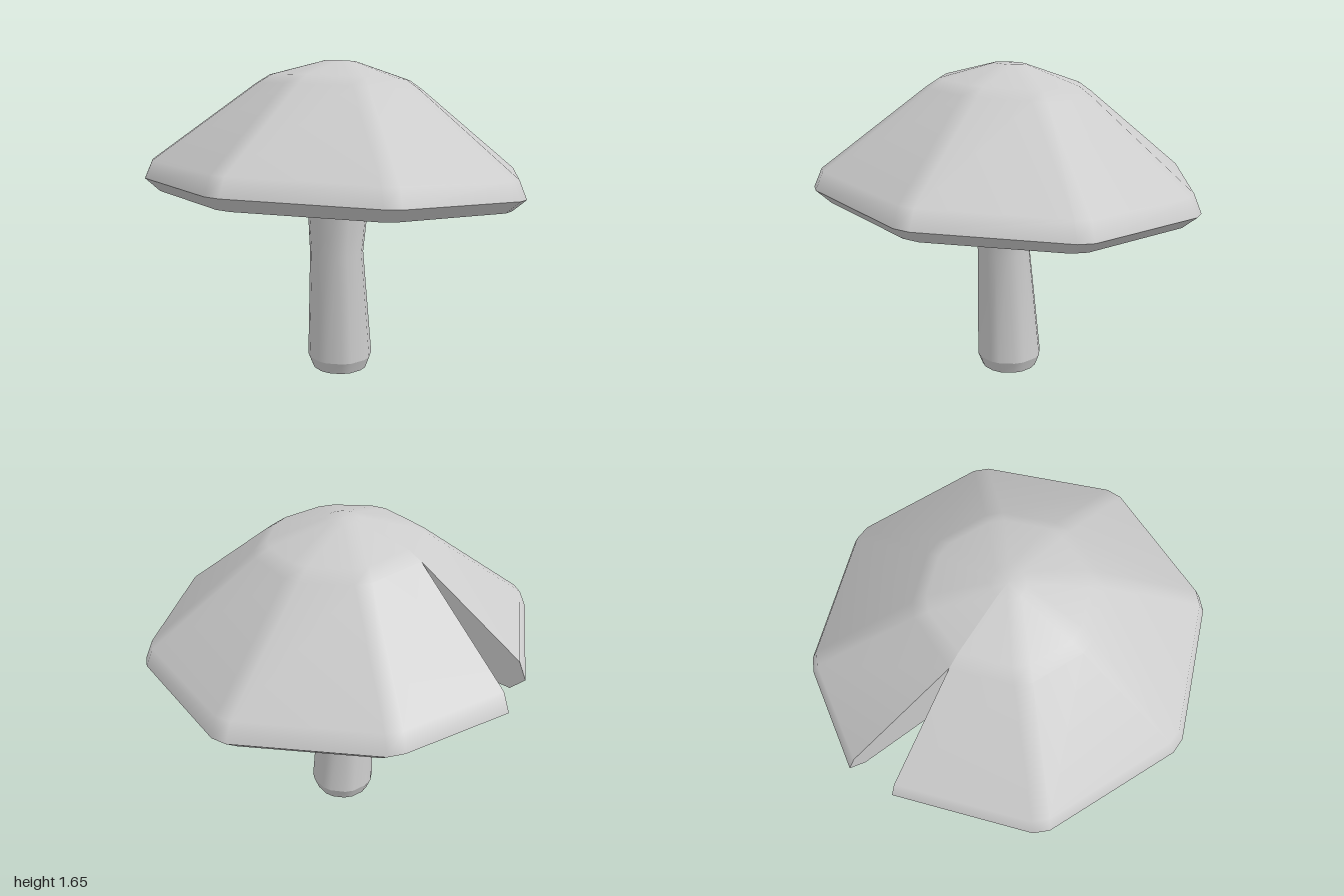
import * as THREE from 'three';

const SPOKE = Math.PI / 4;

// Two points either side of spoke k: an octagon corner with a narrow bevel
function corner(r, y, k, bevel) {
  const a = -Math.PI + k * SPOKE, c = Math.cos(a), s = Math.sin(a);
  const b = Math.min(bevel, r * 0.2);
  return [-b, b].map((o) => new THREE.Vector3(r * c - o * s, y, r * s + o * c));
}

// Cap ring: runs from one lip of the slit, round seven corners, to the other lip
function capRing([r, y]) {
  const t = Math.max(0, (r - 0.43) / 0.57);
  const pts = [new THREE.Vector3(-r, y - 0.01 * t, -0.21 * t)];
  for (let k = 1; k < 8; k++) pts.push(...corner(r, y, k, 0.04));
  pts.push(new THREE.Vector3(-r + 0.02 * t, y, 0.04 * t));
  // the whole cap leans back a little
  pts.forEach((p) => { p.y += 0.062 * p.z - 0.008 * p.x; });
  return pts;
}

function stemRing([r, y, z]) {
  const pts = [];
  for (let k = 0; k < 8; k++) pts.push(...corner(r, y, k, 0.025));
  pts.forEach((p) => { p.z += z; });
  return pts;
}

// Smooth skin across rings listed from top to bottom
function skin(rings, closed) {
  const n = rings[0].length, index = [];
  for (let i = 0; i < rings.length - 1; i++) {
    for (let j = 0; j < (closed ? n : n - 1); j++) {
      const a = i * n + j, b = i * n + (j + 1) % n;
      index.push(a, b, b + n, a, b + n, a + n);
    }
  }
  return geometry(rings.flat(), index);
}

// Flat wall across a convex outline
function wall(points, flip) {
  const index = [];
  for (let i = 1; i < points.length - 1; i++) {
    index.push(0, ...(flip ? [i + 1, i] : [i, i + 1]));
  }
  return geometry(points, index);
}

function geometry(points, index) {
  const g = new THREE.BufferGeometry().setFromPoints(points);
  g.setIndex(index);
  g.computeVertexNormals();
  return g;
}

export function createModel() {
  const model = new THREE.Group();
  model.name = 'mushroom';
  const material = new THREE.MeshStandardMaterial({ color: 0xcccccc });
  const add = (parent, name, geo) => {
    const mesh = new THREE.Mesh(geo, material);
    mesh.name = name;
    parent.add(mesh);
  };

  // Cap: each profile is [radius, height]; separate skins keep hard edges
  const cap = new THREE.Group();
  cap.name = 'cap';
  model.add(cap);
  const profiles = {
    capTop: [[0, 1.65], [0.08, 1.648], [0.36, 1.565], [0.43, 1.52], [0.96, 1.12], [1, 1.03]],
    capRim: [[1, 1.03], [0.93, 0.967]],
    capUnderside: [[0.93, 0.967], [0.43, 1.06]],
    capCollar: [[0.43, 1.06], [0.16, 0.99], [0, 0.99]],
  };
  for (const [name, profile] of Object.entries(profiles)) {
    add(cap, name, skin(profile.map(capRing), false));
  }

  // Cut faces of the slit
  const cut = [[0.43, 1.52], [0.96, 1.12], [1, 1.03], [0.93, 0.967], [0.43, 1.06]].map(capRing);
  add(cap, 'slitBackWall', wall(cut.map((r) => r[0]), false));
  add(cap, 'slitFrontWall', wall(cut.map((r) => r[r.length - 1]), true));

  // Stem: [radius, height, z offset], pinched and bent at the middle
  const stem = new THREE.Group();
  stem.name = 'stem';
  model.add(stem);
  const side = [[0.168, 1.02, 0.018], [0.14, 0.65, 0.04], [0.173, 0.065, 0.008]];
  const foot = [[0.173, 0.065, 0.008], [0.148, 0, 0.008]];
  const base = [[0.148, 0, 0.008], [0, 0, 0.008]];
  add(stem, 'stemSide', skin(side.map(stemRing), true));
  add(stem, 'stemFoot', skin(foot.map(stemRing), true));
  add(stem, 'stemBase', skin(base.map(stemRing), true));

  return model;
}
